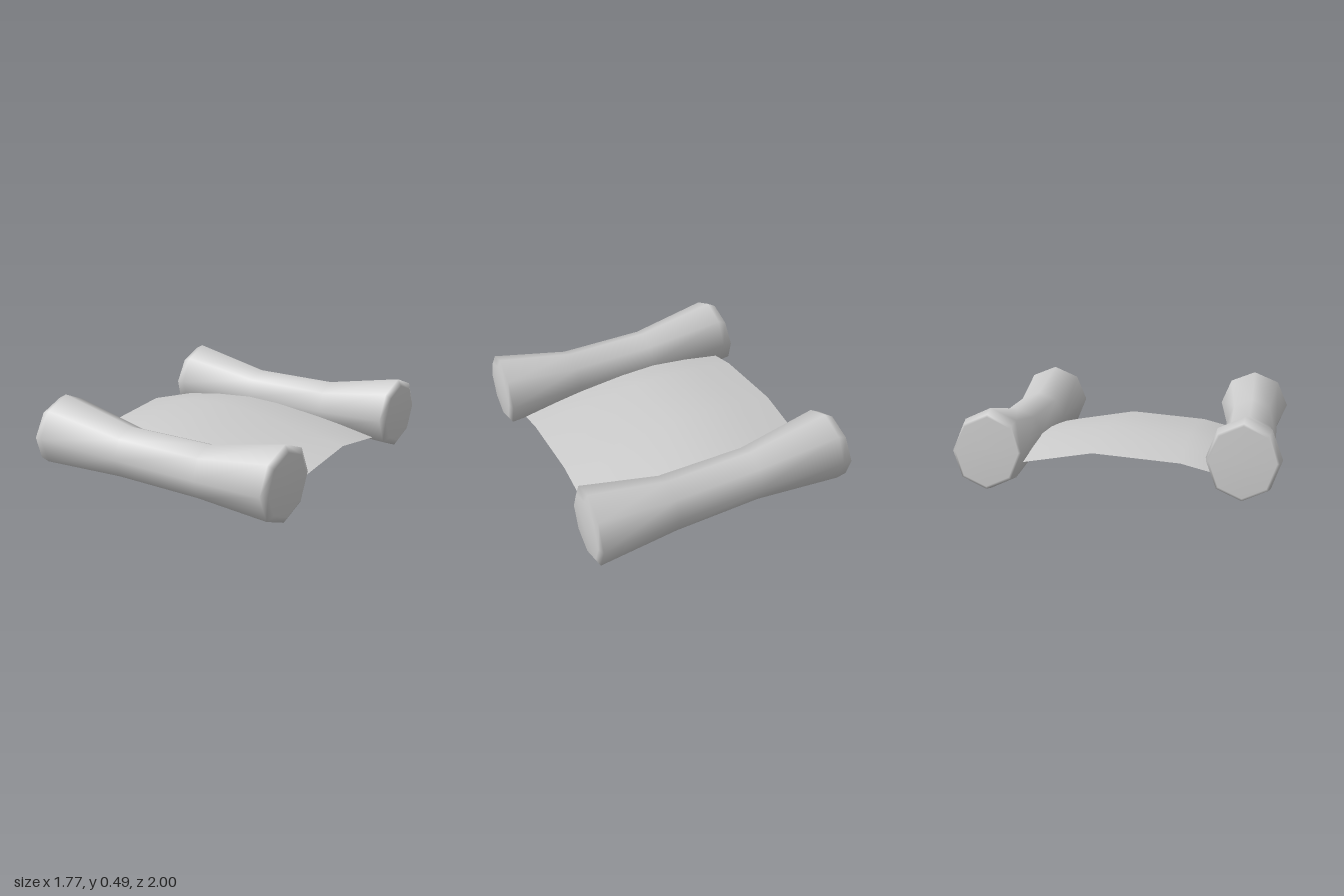
import * as THREE from 'three';

const SIDES = 8;

// Skin a grid of points (rows x cols) with smooth normals
function skin(points, rows, cols, closed) {
  const index = [];
  const span = closed ? cols : cols - 1;
  for (let r = 0; r < rows - 1; r++) {
    for (let c = 0; c < span; c++) {
      const a = r * cols + c;
      const b = r * cols + ((c + 1) % cols);
      index.push(a, b, a + cols, b, b + cols, a + cols);
    }
  }
  const geo = new THREE.BufferGeometry();
  geo.setAttribute('position', new THREE.Float32BufferAttribute(points, 3));
  geo.setIndex(index);
  return geo;
}

// Waisted roll: octagonal sections along x, with slightly tilted ends
function rollGeometry() {
  // x, centre y, centre z offset, radius y, radius z, tilt with y, tilt with z
  const sections = [
    [-0.87, 0.24, 0, 0.205, 0.195, 0.03, 0],
    [-0.865, 0.24, 0, 0.22, 0.21, 0.03, 0],
    [-0.80, 0.247, 0.005, 0.243, 0.222, 0.02, 0],
    [-0.25, 0.207, 0.01, 0.17, 0.165, 0, 0],
    [0.33, 0.203, 0, 0.173, 0.173, 0, 0],
    [0.838, 0.241, -0.005, 0.237, 0.242, 0, -0.015],
    [0.862, 0.24, -0.005, 0.195, 0.20, 0, -0.008],
  ];
  const points = [];
  for (const [x, cy, cz, ry, rz, ty, tz] of sections) {
    for (let i = 0; i < SIDES; i++) {
      const a = (i / SIDES) * Math.PI * 2;
      const u = Math.cos(a), v = Math.sin(a);
      points.push(x + ty * u + tz * v, cy + ry * u, cz + rz * v);
    }
  }
  const geo = skin(points, sections.length, SIDES, true);

  // End caps: fans to a centre point
  const index = Array.from(geo.index.array);
  const n = sections.length * SIDES;
  points.push(-0.872, 0.24, 0, 0.872, 0.24, -0.005);
  const last = n - SIDES;
  for (let i = 0; i < SIDES; i++) {
    const j = (i + 1) % SIDES;
    index.push(n, j, i, n + 1, last + i, last + j);
  }
  geo.setAttribute('position', new THREE.Float32BufferAttribute(points, 3));
  geo.setIndex(index);
  geo.computeVertexNormals();
  return geo;
}

// Sheet: arched from roll to roll and bowed across its width
function sheetGeometry() {
  const along = [[-0.66, 0.078], [-0.55, 0.1], [-0.14, 0.17], [0.39, 0.13], [0.55, 0.09], [0.66, 0.062]];
  const across = [[-0.76, 0.06], [-0.5, 0.1], [-0.25, 0.12], [0, 0.112], [0.25, 0.08], [0.5, 0.045], [0.75, 0]];
  const points = [];
  for (const [z, y] of along) {
    for (const [x, bow] of across) points.push(x, y + bow, z);
  }
  const geo = skin(points, along.length, across.length, false);
  // Wind the faces so the upper side is the front
  const idx = geo.index.array;
  for (let i = 0; i < idx.length; i += 3) [idx[i + 1], idx[i + 2]] = [idx[i + 2], idx[i + 1]];
  geo.computeVertexNormals();
  return geo;
}

export function createModel() {
  const model = new THREE.Group();
  model.name = 'scroll';
  const material = new THREE.MeshStandardMaterial({ color: 0xcccccc });
  const sheetMaterial = new THREE.MeshStandardMaterial({ color: 0xcccccc, side: THREE.DoubleSide });

  // Two identical rolls, front and back
  const geo = rollGeometry();
  for (const [name, z] of [['frontRoll', 0.76], ['backRoll', -0.757]]) {
    const roll = new THREE.Mesh(geo, material);
    roll.name = name;
    roll.position.z = z;
    model.add(roll);
  }

  // Open sheet between the rolls
  const sheet = new THREE.Mesh(sheetGeometry(), sheetMaterial);
  sheet.name = 'sheet';
  model.add(sheet);
  return model;
}
